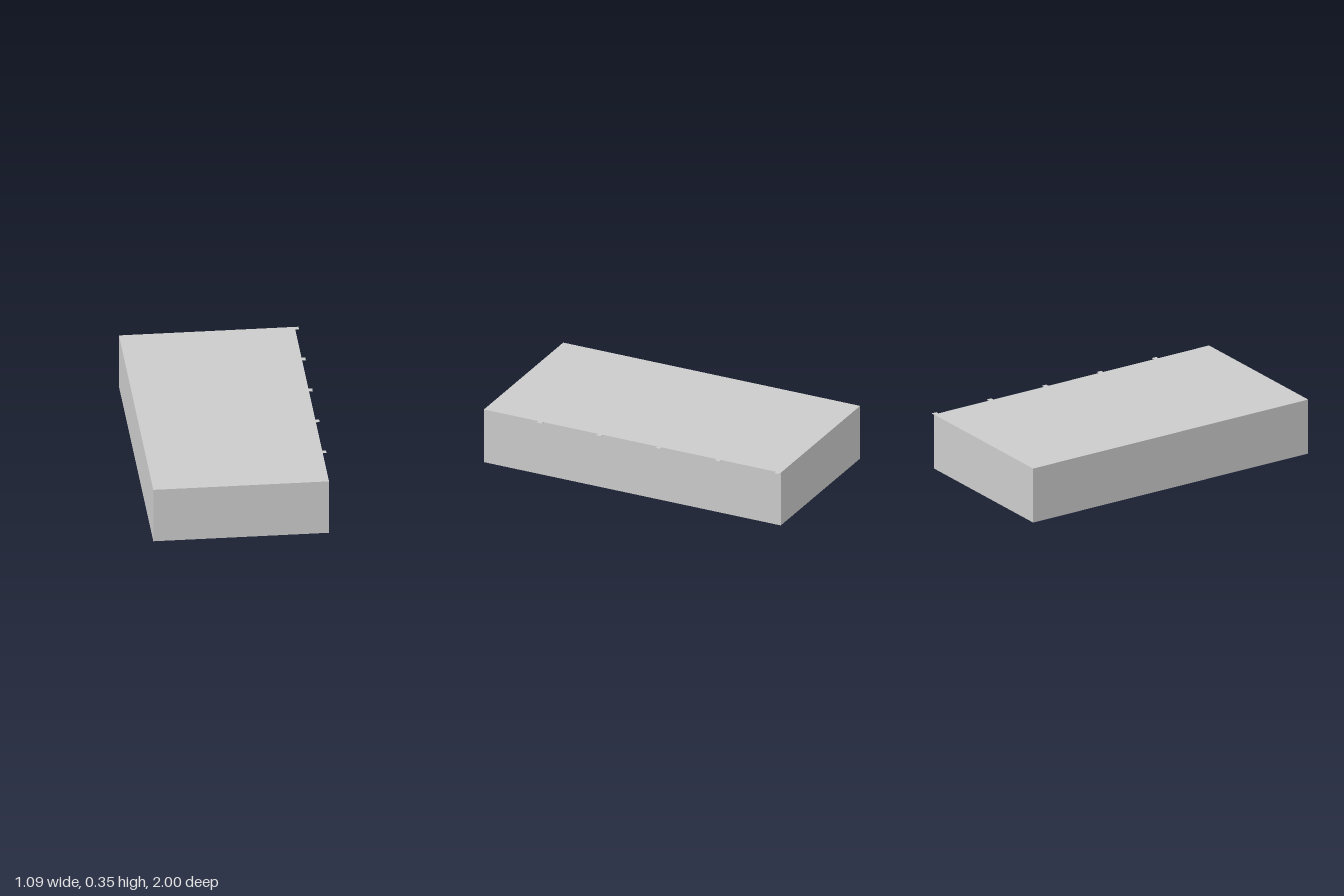
import * as THREE from 'three';

const LEFT = 0.52, TAB = 0.543, RIGHT = -0.543;
const HEIGHT = 0.35, SHEET = 0.002, WALL = 0.024;
const CELLS = 5, PITCH = 2 / CELLS, TAB_WIDTH = 0.032;

// Extrudes a plan outline (x, -z) upward from height y.
function extrudeUp(name, shape, y, depth, material) {
  const geometry = new THREE.ExtrudeGeometry(shape, { depth, bevelEnabled: false });
  geometry.rotateX(-Math.PI / 2);
  const mesh = new THREE.Mesh(geometry, material);
  mesh.position.y = y;
  mesh.name = name;
  return mesh;
}

function rectangle(Type, x0, x1, z0, z1) {
  const path = new Type();
  path.moveTo(x0, -z0);
  path.lineTo(x0, -z1);
  path.lineTo(x1, -z1);
  path.lineTo(x1, -z0);
  path.closePath();
  return path;
}

export function createModel() {
  const group = new THREE.Group();
  group.name = 'compartmentTray';
  const material = new THREE.MeshStandardMaterial({ color: 0xcccccc, flatShading: true });

  // Outer walls and dividers: a block with a row of open compartments
  const walls = rectangle(THREE.Shape, RIGHT, LEFT, -1, 1);
  for (let i = 0; i < CELLS; i++) {
    const z = -1 + i * PITCH;
    walls.holes.push(rectangle(THREE.Path, RIGHT + WALL, LEFT - WALL, z + WALL, z + PITCH - WALL));
  }
  group.add(extrudeUp('compartmentWalls', walls, 0, HEIGHT - SHEET, material));

  // Thin top sheet with one small tab per compartment along its left edge
  const top = new THREE.Shape();
  top.moveTo(RIGHT, 1);
  top.lineTo(RIGHT, -1);
  top.lineTo(LEFT, -1);
  for (let i = CELLS - 1; i >= 0; i--) {
    const z = -1 + i * PITCH;
    top.lineTo(LEFT, -(z + TAB_WIDTH));
    top.lineTo(TAB, -(z + TAB_WIDTH));
    top.lineTo(TAB, -z);
    if (i > 0) top.lineTo(LEFT, -z);
  }
  top.closePath();
  group.add(extrudeUp('topSheet', top, HEIGHT - SHEET, SHEET, material));

  return group;
}
